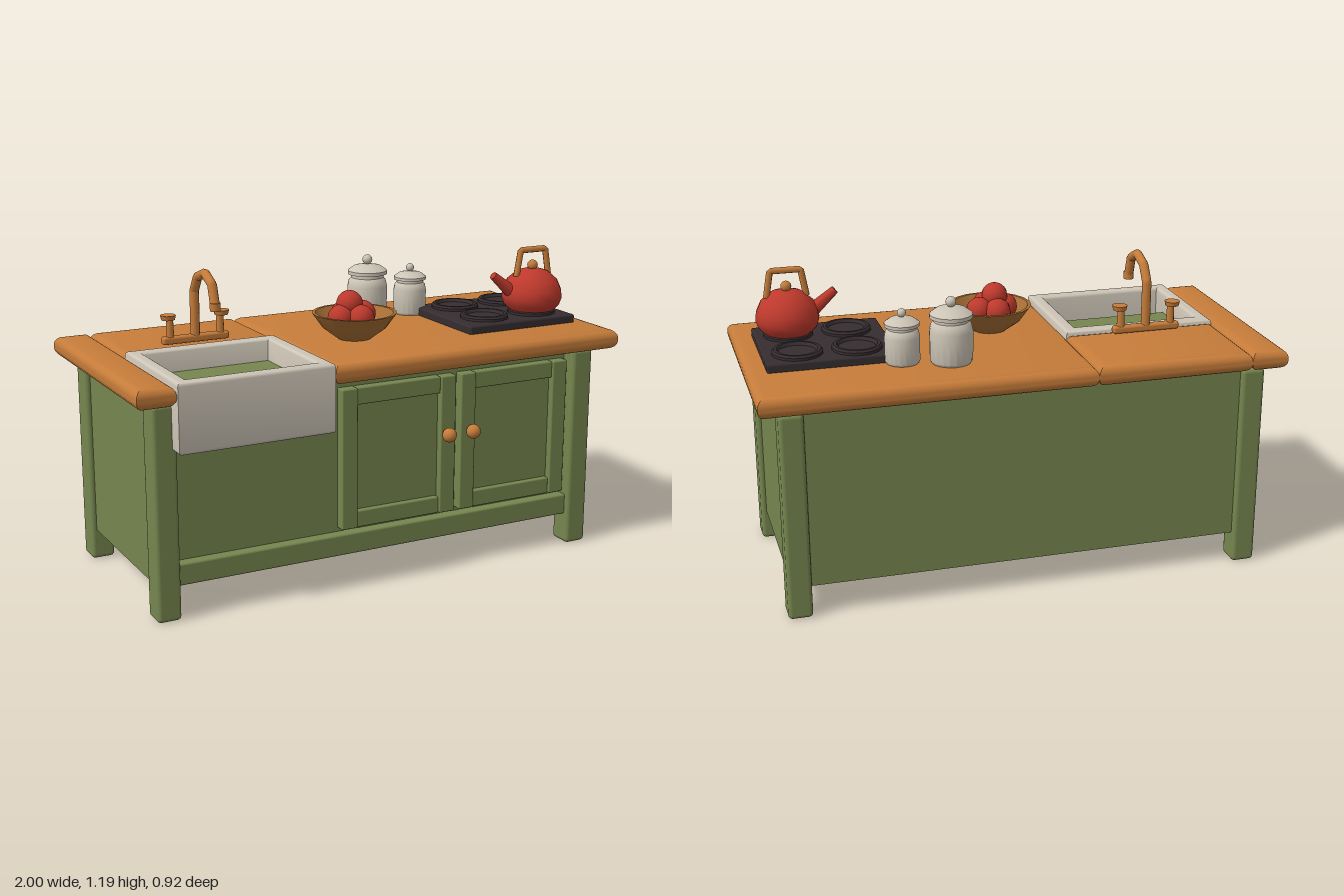
import * as THREE from 'three';
import { RoundedBoxGeometry } from 'three/addons/geometries/RoundedBoxGeometry.js';
import { toCreasedNormals } from 'three/addons/utils/BufferGeometryUtils.js';

export function createModel() {
  const model = new THREE.Group();
  model.name = 'kitchenIsland';
  const mat = (name, color, side = THREE.FrontSide) => {
    const m = new THREE.MeshStandardMaterial({ color, side });
    m.name = name;
    return m;
  };
  const green = mat('green paint', 0x76864f);
  const wood = mat('warm wood', 0xc67c3a);
  const darkWood = mat('bowl wood', 0xa56d34, THREE.DoubleSide);
  const cream = mat('cream ceramic', 0xcdc5b6);
  const red = mat('red enamel', 0xbe392c);
  const black = mat('black iron', 0x352d2f);

  const add = (name, geo, material, x = 0, y = 0, z = 0, parent = model) => {
    const mesh = new THREE.Mesh(geo, material);
    mesh.name = name;
    mesh.position.set(x, y, z);
    parent.add(mesh);
    return mesh;
  };
  const group = (name, x, y, z) => {
    const g = new THREE.Group();
    g.name = name;
    g.position.set(x, y, z);
    model.add(g);
    return g;
  };
  // Box given by its limits, optionally rounded
  const box = (name, x0, x1, y0, y1, z0, z1, material, r = 0) => {
    const s = [x1 - x0, y1 - y0, z1 - z0];
    const geo = r ? new RoundedBoxGeometry(...s, 2, r) : new THREE.BoxGeometry(...s);
    return add(name, geo, material, (x0 + x1) / 2, (y0 + y1) / 2, (z0 + z1) / 2);
  };
  const rect = (P, x0, x1, z0, z1) =>
    new P([[x0, -z1], [x1, -z1], [x1, -z0], [x0, -z0]].map(p => new THREE.Vector2(...p)));
  // Slab with rounded, mitred edges; hole is [x0, x1, z0, z1]
  const slab = (name, x0, x1, y0, y1, z0, z1, b, material, hole) => {
    const shape = rect(THREE.Shape, x0 + b, x1 - b, z0 + b, z1 - b);
    if (hole) shape.holes.push(rect(THREE.Path, hole[0] - b, hole[1] + b, hole[2] - b, hole[3] + b));
    const geo = new THREE.ExtrudeGeometry(shape, {
      depth: y1 - y0 - 2 * b, bevelEnabled: true, bevelSize: b, bevelThickness: b, bevelSegments: 4,
    });
    geo.rotateX(-Math.PI / 2);
    return add(name, toCreasedNormals(geo, 0.75), material, 0, y0 + b, 0);
  };
  const lathe = (points, segments = 20) => toCreasedNormals(
    new THREE.LatheGeometry(points.map(p => new THREE.Vector2(...p)), segments), 0.6);
  // Polyline tube with sharp bends
  const pipe = (points, r, sides) => {
    const path = new THREE.CurvePath();
    for (let i = 1; i < points.length; i++) {
      path.add(new THREE.LineCurve3(new THREE.Vector3(...points[i - 1]), new THREE.Vector3(...points[i])));
    }
    return new THREE.TubeGeometry(path, 48, r, sides, false);
  };

  // Cabinet body, legs and front rail
  box('cabinetBody', -0.905, 0.905, 0.12, 0.81, -0.4, 0.33, green);
  for (const s of [-1, 1]) {
    for (const [name, z] of [['frontLeg', 0.345], ['backLeg', -0.373]]) {
      box(name, s * 0.88 - 0.046, s * 0.88 + 0.046, 0, 0.805, z - 0.049, z + 0.049, green, 0.016);
    }
  }
  box('frontRail', -0.84, 0.84, 0.122, 0.205, 0.32, 0.372, green, 0.008);

  // Framed doors with knobs
  for (const [x0, x1, knobX] of [[-0.177, 0.312, 0.268], [0.335, 0.822, 0.375]]) {
    const w = 0.066, y0 = 0.22, y1 = 0.765;
    box('doorPanel', x0 + 0.01, x1 - 0.01, y0 + 0.01, y1 - 0.01, 0.32, 0.342, green);
    box('doorStile', x0, x0 + w, y0, y1, 0.32, 0.37, green, 0.006);
    box('doorStile', x1 - w, x1, y0, y1, 0.32, 0.37, green, 0.006);
    box('doorRail', x0 + w, x1 - w, y0, y0 + w, 0.32, 0.364, green, 0.006);
    box('doorRail', x0 + w, x1 - w, y1 - w, y1, 0.32, 0.364, green, 0.006);
    add('doorKnob', new THREE.SphereGeometry(0.028, 16, 12), wood, knobX, 0.54, 0.398);
  }

  // Worktop in three pieces around the sink
  slab('worktopLeft', -1, -0.855, 0.807, 0.885, -0.46, 0.455, 0.034, wood);
  slab('worktopBack', -0.855, -0.247, 0.807, 0.885, -0.46, -0.055, 0.034, wood);
  slab('worktopMain', -0.247, 1, 0.807, 0.885, -0.46, 0.455, 0.034, wood);

  // Apron sink
  slab('sinkWalls', -0.853, -0.25, 0.635, 0.895, -0.06, 0.46, 0.014, cream, [-0.803, -0.303, 0, 0.41]);
  box('sinkFloor', -0.82, -0.285, 0.637, 0.675, -0.02, 0.43, cream);

  // Tap with two handles
  const tap = group('tap', -0.555, 0, -0.108);
  add('tapBase', new RoundedBoxGeometry(0.27, 0.03, 0.034, 2, 0.01), wood, 0, 0.905, 0, tap);
  add('tapSpout', pipe([[0, 0.9, 0], [0, 1.085, 0], [0, 1.145, 0.038], [0, 1.17, 0.11],
    [0, 1.138, 0.175], [0, 1.06, 0.2]], 0.018, 10), wood, 0, 0, 0, tap);
  add('tapNozzle', new THREE.CylinderGeometry(0.02, 0.02, 0.03, 10), wood, 0, 1.06, 0.2, tap);
  for (const s of [-1, 1]) {
    add('tapStem', new THREE.CylinderGeometry(0.013, 0.016, 0.09, 10), wood, s * 0.102, 0.95, 0, tap);
    add('tapHandle', new THREE.CylinderGeometry(0.03, 0.026, 0.018, 12), wood, s * 0.108, 0.993, 0, tap);
  }

  // Hob with four ring burners
  box('hobPlate', 0.437, 0.927, 0.88, 0.917, -0.19, 0.263, black, 0.008);
  for (const x of [0.577, 0.8]) {
    for (const z of [-0.083, 0.14]) {
      add('burner', lathe([[0.095, 0], [0.095, 0.012], [0.088, 0.02], [0.077, 0.02],
        [0.07, 0.008], [0, 0.008]], 20), black, x, 0.915, z);
    }
  }

  // Kettle
  const kettle = group('kettle', 0.8, 0.928, 0.14);
  add('kettleBody', lathe([[0, 0], [0.088, 0], [0.112, 0.025], [0.122, 0.055], [0.118, 0.085],
    [0.101, 0.122], [0.062, 0.156], [0.03, 0.166], [0, 0.168]], 16), red, 0, 0, 0, kettle);
  add('kettleLidKnob', new THREE.SphereGeometry(0.021, 12, 8), wood, 0, 0.18, 0, kettle);
  const spout = add('kettleSpout', new THREE.CylinderGeometry(0.016, 0.03, 0.15, 10), red, -0.128, 0.105, 0, kettle);
  spout.rotation.z = 0.88;
  add('kettleHandle', pipe([[-0.076, 0.14, 0], [-0.058, 0.243, 0], [0.058, 0.243, 0], [0.076, 0.14, 0]],
    0.0125, 8), wood, 0, 0, 0, kettle);

  // Lidded canisters
  for (const [x, z, s, h] of [[0.255, -0.24, 1, 1], [0.43, -0.197, 0.82, 0.825]]) {
    const can = group('canister', x, 0.883, z);
    can.scale.set(s, h, s);
    add('canisterBody', lathe([[0, 0], [0.072, 0], [0.08, 0.012], [0.081, 0.125], [0.076, 0.148],
      [0.066, 0.16], [0.066, 0.178], [0, 0.178]]), cream, 0, 0, 0, can);
    add('canisterLid', lathe([[0, 0.174], [0.08, 0.174], [0.08, 0.188], [0.055, 0.206], [0, 0.214]]), cream, 0, 0, 0, can);
    add('canisterKnob', new THREE.SphereGeometry(0.02, 12, 10), cream, 0, 0.232, 0, can);
  }

  // Bowl of fruit
  const bowl = group('fruitBowl', 0.018, 0.885, 0.095);
  add('bowl', lathe([[0, 0], [0.065, 0], [0.122, 0.042], [0.163, 0.1], [0.15, 0.1], [0.112, 0.052],
    [0.06, 0.014], [0, 0.014]]), darkWood, 0, 0, 0, bowl);
  for (const [x, y, z] of [[-0.018, 0.086, -0.055], [0.047, 0.086, -0.022], [-0.062, 0.086, 0.008],
    [0.002, 0.086, 0.05], [-0.02, 0.135, -0.002]]) {
    add('fruit', new THREE.SphereGeometry(0.051, 14, 10), red, x, y, z, bowl);
  }
  return model;
}
